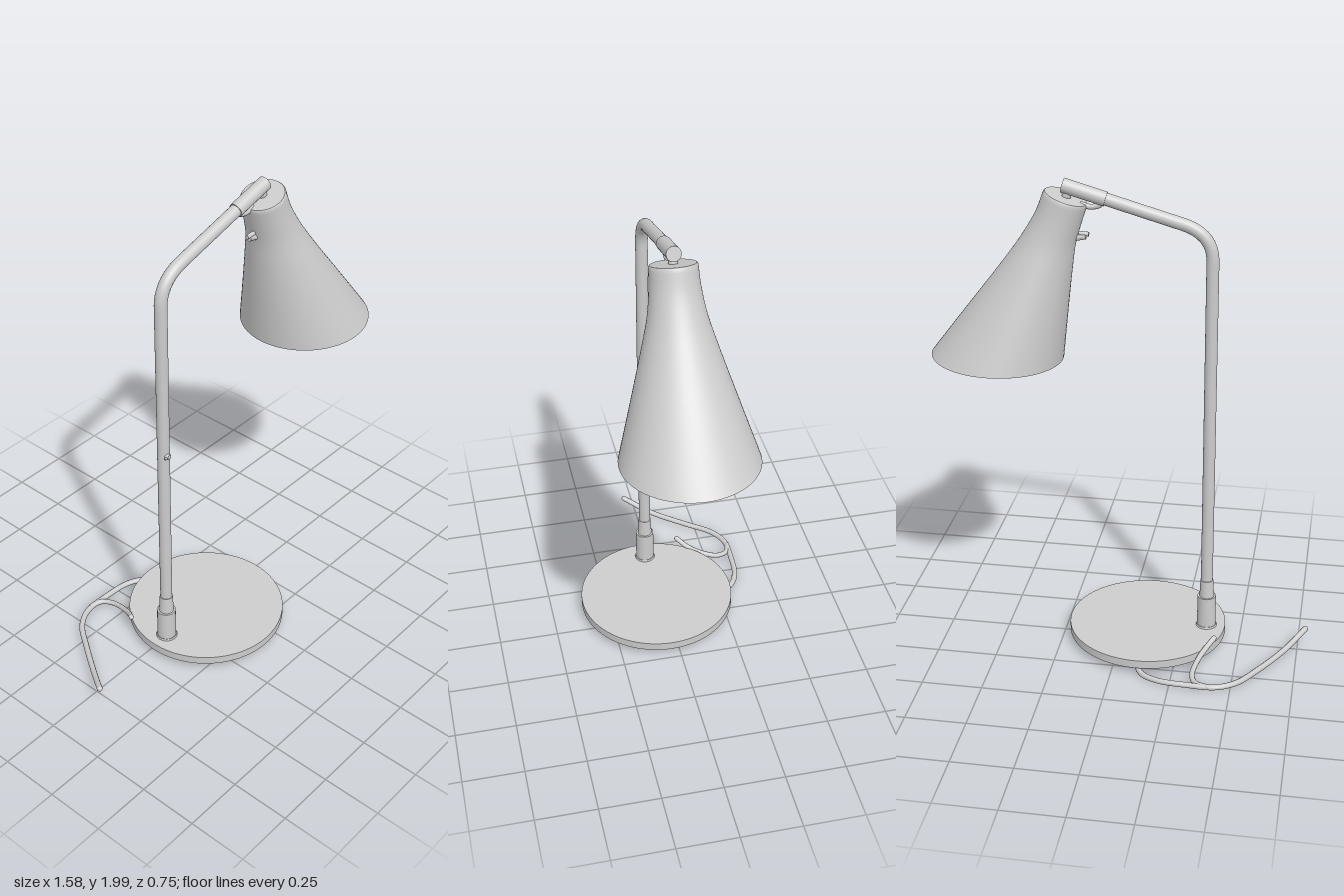
import * as THREE from 'three';

const V = (x, y, z) => new THREE.Vector3(x, y, z);
const Z = 0.035; // depth of the stem, arm and shade axis

export function createModel() {
  const group = new THREE.Group();
  const grey = new THREE.MeshStandardMaterial({ color: 0xcccccc });
  grey.name = 'light grey';

  const add = (name, geometry, x = 0, y = 0, z = 0) => {
    const mesh = new THREE.Mesh(geometry, grey);
    mesh.name = name;
    mesh.position.set(x, y, z);
    group.add(mesh);
    return mesh;
  };

  // cylinder between two points
  const rod = (name, a, b, rA, rB = rA, sides = 24) => {
    const mesh = add(name, new THREE.CylinderGeometry(rB, rA, a.distanceTo(b), sides));
    mesh.position.copy(a).lerp(b, 0.5);
    mesh.quaternion.setFromUnitVectors(V(0, 1, 0), b.clone().sub(a).normalize());
    return mesh;
  };

  // round cable with ball ends
  const cable = (name, points, r, segments = 60) => {
    const path = new THREE.CatmullRomCurve3(points);
    add(name, new THREE.TubeGeometry(path, segments, r, 10));
    for (const p of [points[0], points[points.length - 1]])
      add(name + 'End', new THREE.SphereGeometry(r, 10, 8), p.x, p.y, p.z);
  };

  // base disc, hub and three feet
  const bx = -0.105;
  add('base', new THREE.CylinderGeometry(0.333, 0.333, 0.035, 96), bx, 0.0475, Z);
  add('baseHub', new THREE.CylinderGeometry(0.018, 0.014, 0.016, 16), bx, 0.023, Z);
  for (let i = 0; i < 3; i++) {
    const a = Math.PI * (0.22 + i * 2 / 3);
    add('foot', new THREE.CylinderGeometry(0.018, 0.014, 0.018, 16),
      bx + 0.28 * Math.cos(a), 0.022, Z + 0.28 * Math.sin(a));
  }

  // collar at the foot of the stem
  rod('collarFlange', V(-0.358, 0.06, Z), V(-0.358, 0.073, Z), 0.046, 0.042);
  rod('collar', V(-0.358, 0.065, Z), V(-0.357, 0.208, Z), 0.04, 0.039);
  rod('collarTaper', V(-0.357, 0.208, Z), V(-0.356, 0.285, Z), 0.031, 0.027);

  // stem, bend and arm in one tube
  const bendLow = V(-0.348, 1.69, Z), corner = V(-0.348, 1.8, Z);
  const bendHigh = V(-0.23, 1.834, Z), armTip = V(0.24, 1.968, Z);
  const path = new THREE.CurvePath();
  path.add(new THREE.LineCurve3(V(-0.356, 0.2, Z), bendLow));
  path.add(new THREE.QuadraticBezierCurve3(bendLow, corner, bendHigh));
  path.add(new THREE.LineCurve3(bendHigh, armTip.clone().lerp(bendHigh, 0.02)));
  add('stemAndArm', new THREE.TubeGeometry(path, 110, 0.025, 20));
  rod('armSleeve', bendHigh.clone().lerp(armTip, 0.64), armTip, 0.029);

  // stem screw facing forward
  rod('stemScrew', V(-0.355, 1.027, Z + 0.02), V(-0.355, 1.027, Z + 0.035), 0.013, 0.01, 12);
  rod('stemScrewTab', V(-0.372, 1.024, Z + 0.027), V(-0.343, 1.03, Z + 0.027), 0.005, 0.005, 8);

  // shade: left edge, right edge and half depth of each section (x, y, half depth)
  const leftEdge = new THREE.CatmullRomCurve3([
    V(0.143, 1.894, 0.09), V(0.17, 1.81, 0.096), V(0.191, 1.735, 0.11),
    V(0.206, 1.63, 0.142), V(0.228, 1.44, 0.203), V(0.249, 1.247, 0.266)]);
  const rightEdge = new THREE.CatmullRomCurve3([
    V(0.312, 1.952, 0), V(0.346, 1.865, 0), V(0.405, 1.765, 0),
    V(0.49, 1.647, 0), V(0.637, 1.457, 0), V(0.784, 1.266, 0)]);
  const SIDES = 64;
  const ring = (t, inset = 0, scale = 1) => {
    const l = leftEdge.getPoint(t), r = rightEdge.getPoint(t);
    const half = V((r.x - l.x) / 2, (r.y - l.y) / 2, 0);
    const depth = (l.z - inset) * scale;
    half.setLength((half.length() - inset) * scale);
    const mid = V((l.x + r.x) / 2, (l.y + r.y) / 2, Z);
    return Array.from({ length: SIDES }, (_, j) => {
      const a = j / SIDES * Math.PI * 2;
      return mid.clone().addScaledVector(half, Math.cos(a)).add(V(0, 0, Math.sin(a) * depth));
    });
  };
  const loft = (name, rings) => {
    const index = [];
    for (let i = 0; i < rings.length - 1; i++)
      for (let j = 0; j < SIDES; j++) {
        const k = (j + 1) % SIDES, a = i * SIDES, b = a + SIDES;
        index.push(a + j, a + k, b + j, a + k, b + k, b + j);
      }
    const geometry = new THREE.BufferGeometry().setFromPoints(rings.flat());
    geometry.setIndex(index);
    geometry.computeVertexNormals();
    add(name, geometry);
  };
  const steps = Array.from({ length: 25 }, (_, i) => i / 24);
  const wall = 0.01;
  loft('shadeCap', [ring(0, 0, 0.001), ring(0, 0.004)]);
  loft('shadeOuter', [ring(0, 0.004), ...steps.map(t => ring(t + (t ? 0 : 0.012)))]);
  loft('shadeRim', [ring(1), ring(1, wall)]);
  loft('shadeInner', steps.slice(1).reverse().map(t => ring(t, wall)));
  loft('shadeInnerTop', [ring(1 / 24, wall), ring(1 / 24, wall, 0.001)]);

  // pivot between the arm and the shade
  rod('pivot', V(0.215, 1.955, Z), V(0.23, 1.91, Z), 0.018);
  cable('pivotBracket', [V(0.075, 1.912, Z), V(0.1, 1.893, Z), V(0.135, 1.887, Z), V(0.165, 1.895, Z)], 0.011, 16);

  // switch on the back of the shade
  rod('switchStem', V(0.15, 1.768, Z), V(0.195, 1.76, Z), 0.012, 0.014, 12);
  rod('switchKnob', V(0.138, 1.777, Z), V(0.178, 1.779, Z), 0.009, 0.009, 12);

  // power cable trailing from under the base, with a short branch
  cable('powerCable', [V(-0.1, 0.026, -0.12), V(-0.1, 0.018, -0.24), V(-0.13, 0.014, -0.31),
    V(-0.2, 0.014, -0.35), V(-0.32, 0.014, -0.363), V(-0.44, 0.013, -0.36), V(-0.52, 0.013, -0.315),
    V(-0.6, 0.016, -0.21), V(-0.7, 0.033, -0.065), V(-0.78, 0.075, 0.05)], 0.012, 90);
  cable('cableBranch', [V(-0.41, 0.016, -0.367), V(-0.36, 0.017, -0.35), V(-0.338, 0.022, -0.3),
    V(-0.352, 0.045, -0.22), V(-0.378, 0.07, -0.165), V(-0.408, 0.098, -0.125)], 0.011, 40);

  return group;
}
